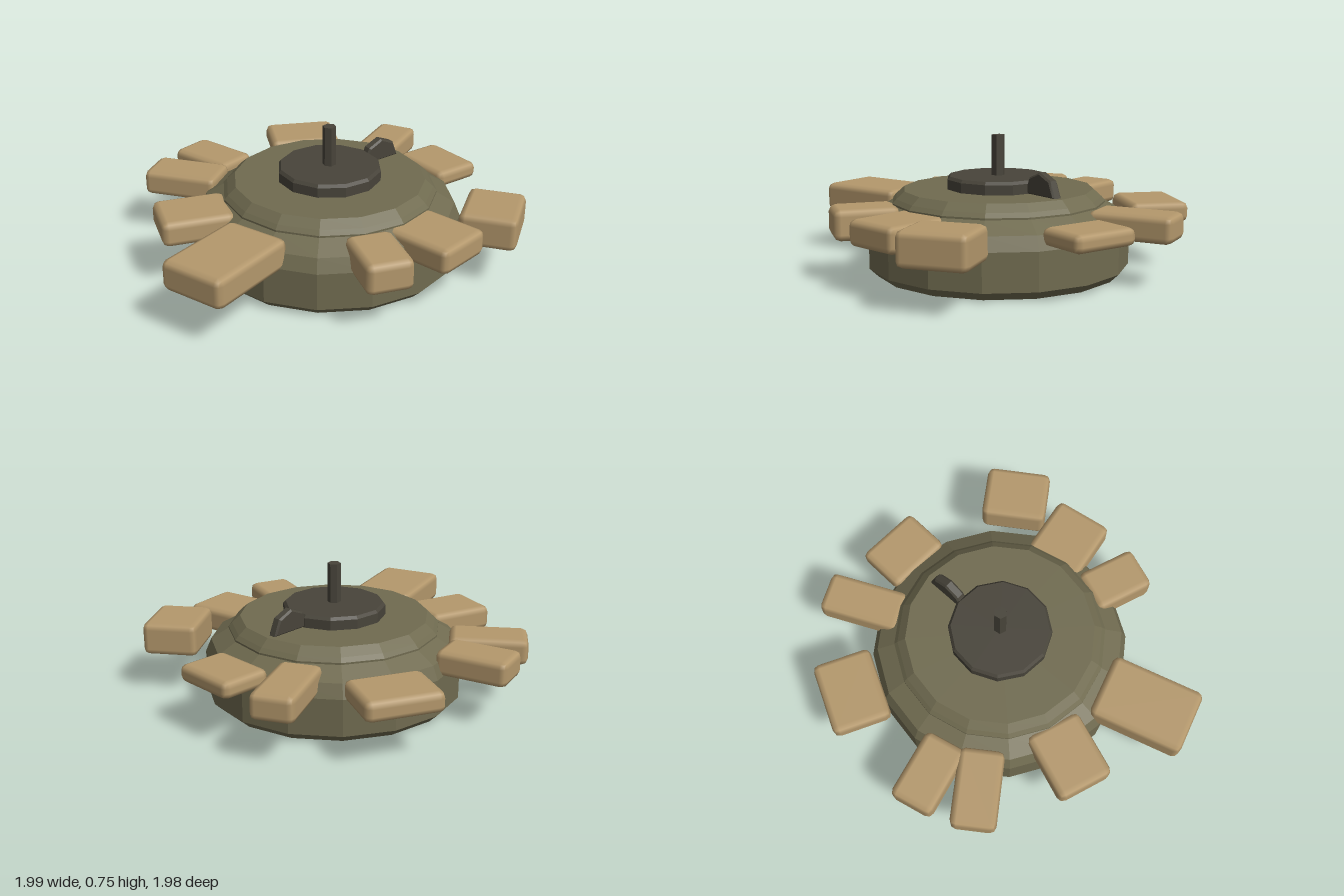
import * as THREE from 'three';
import { RoundedBoxGeometry } from 'three/addons/geometries/RoundedBoxGeometry.js';

const CX = 0.01, CZ = 0.068; // axis of the round hull

export function createModel() {
  const model = new THREE.Group();
  const olive = new THREE.MeshStandardMaterial({ color: 0x706b50, flatShading: true });
  const dark = new THREE.MeshStandardMaterial({ color: 0x48443a, flatShading: true });
  const tan = new THREE.MeshStandardMaterial({ color: 0xb4986c });

  const add = (name, geometry, material, x, y, z, turn = 0) => {
    const mesh = new THREE.Mesh(geometry, material);
    mesh.name = name;
    mesh.position.set(x, y, z);
    mesh.rotation.y = turn;
    model.add(mesh);
  };
  const lathe = (profile, sides) =>
    new THREE.LatheGeometry(profile.map(([r, y]) => new THREE.Vector2(r, y)), sides);

  // Faceted hull with chamfered base and sloping shoulder
  add('hull', lathe([[0, 0], [0.675, 0], [0.722, 0.045], [0.722, 0.25],
    [0.69, 0.325], [0.59, 0.385], [0, 0.385]], 16), olive, CX, 0, CZ);

  // Raised lid on the hull
  add('lid', lathe([[0, 0.37], [0.59, 0.37], [0.59, 0.395], [0.57, 0.418],
    [0.525, 0.458], [0, 0.458]], 16), olive, CX, 0, CZ);

  // Central plate and its upright pin
  add('centerPlate', lathe([[0, 0.45], [0.286, 0.45], [0.286, 0.512],
    [0.272, 0.528], [0, 0.528]], 12), dark, CX, 0, CZ);
  add('pin', new THREE.CylinderGeometry(0.037, 0.037, 0.23, 6), dark, CX, 0.635, CZ);

  // Half-octagon lever standing on the lid
  const lever = new THREE.Shape();
  for (let i = 0; i <= 4; i++) {
    const a = (i * Math.PI) / 4;
    const p = [0.122 * Math.cos(a), 0.125 * Math.sin(a)];
    if (i) lever.lineTo(...p); else lever.moveTo(...p);
  }
  const leverGeometry = new THREE.ExtrudeGeometry(lever, {
    depth: 0.036, bevelEnabled: true, bevelSegments: 1,
    bevelThickness: 0.01, bevelSize: 0.01, bevelOffset: -0.01,
  }).translate(0, 0, -0.018);
  add('lever', leverGeometry, dark, 0.35, 0.458, -0.077, 0.36);

  // Chunky blocks around the rim: x, z, outward x, outward z, length, width, bottom, top
  const blocks = [
    [0.107, -0.80, 0.115, -0.993, 0.33, 0.42, 0.262, 0.375],
    [0.556, -0.52, 0.69, -0.72, 0.46, 0.235, 0.245, 0.39],
    [0.76, -0.18, 0.947, -0.32, 0.29, 0.38, 0.268, 0.365],
    [0.765, 0.56, 0.82, 0.573, 0.31, 0.37, 0.225, 0.41],
    [0.375, 0.69, 0.5, 0.866, 0.40, 0.34, 0.245, 0.387],
    [0.03, 0.815, 0.015, 1, 0.35, 0.25, 0.23, 0.398],
    [-0.695, 0.61, -0.79, 0.61, 0.53, 0.372, 0.235, 0.40],
    [-0.755, 0.095, -1, 0.025, 0.39, 0.32, 0.25, 0.39],
    [-0.695, -0.425, -0.83, -0.555, 0.43, 0.25, 0.245, 0.39],
    [-0.5, -0.62, -0.56, -0.83, 0.40, 0.25, 0.245, 0.387],
  ];
  for (const [x, z, dx, dz, length, width, y0, y1] of blocks) {
    const geometry = new RoundedBoxGeometry(length, y1 - y0, width, 1, 0.036);
    add('rimBlock', geometry, tan, x, (y0 + y1) / 2, z, Math.atan2(-dz, dx));
  }
  return model;
}
